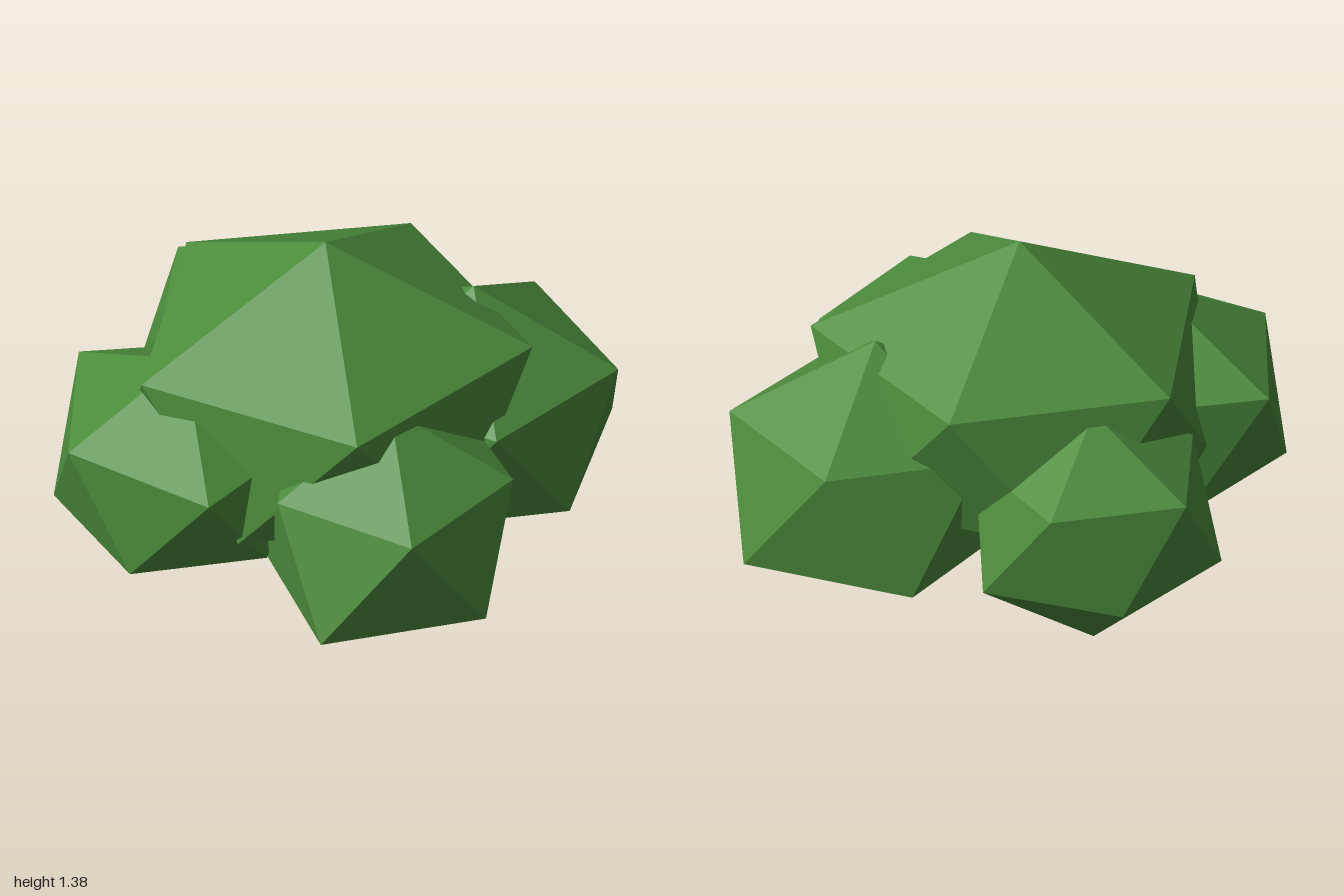
import * as THREE from 'three';

// Each clump is an uneven 12-point ball: top point, two rings of five, bottom point.
// up / low hold the ring radii, 72 degrees apart, starting at +x and turning towards +z.
const CLUMPS = [
  { name: 'crownClump', x: -0.05, z: -0.06, top: 1.38, upY: 0.99, lowY: 0.48, bottom: 0.15,
    up: [0.76, 0.72, 0.75, 0.71, 0.686], low: [0.7, 0.7, 0.72, 0.7, 0.7] },
  { name: 'frontRightClump', x: -0.52, z: 0.24, top: 1.02, upY: 0.755, lowY: 0.335, bottom: 0.06,
    up: [0.5, 0.547, 0.474, 0.54, 0.5], low: [0.42, 0.44, 0.48, 0.47, 0.48] },
  { name: 'frontLeftClump', x: 0.26, z: 0.4, top: 1.0, upY: 0.735, lowY: 0.31, bottom: 0.03,
    up: [0.45, 0.484, 0.46, 0.48, 0.48], low: [0.488, 0.56, 0.47, 0.48, 0.46] },
  { name: 'backLeftClump', x: 0.46, z: -0.28, top: 1.07, upY: 0.75, lowY: 0.305, bottom: 0.07,
    up: [0.53, 0.515, 0.5, 0.5, 0.49], low: [0.49, 0.5, 0.5, 0.55, 0.564] },
  { name: 'backRightClump', x: -0.35, z: -0.53, top: 0.95, upY: 0.72, lowY: 0.34, bottom: 0.0,
    up: [0.43, 0.43, 0.425, 0.436, 0.42], low: [0.45, 0.45, 0.465, 0.435, 0.474] },
];

function clumpGeometry(c) {
  const ring = (radii, y, startDeg) => radii.map((r, k) => {
    const a = THREE.MathUtils.degToRad(startDeg + k * 72);
    return [c.x + r * Math.cos(a), y, c.z + r * Math.sin(a)];
  });
  const up = ring(c.up, c.upY, 0);
  const low = ring(c.low, c.lowY, 36);
  const top = [c.x, c.top, c.z];
  const bottom = [c.x, c.bottom, c.z];

  const points = [];
  const face = (...corners) => corners.forEach((p) => points.push(...p));
  for (let k = 0; k < 5; k++) {
    const n = (k + 1) % 5;
    face(top, up[n], up[k]);
    face(up[k], up[n], low[k]);
    face(up[n], low[n], low[k]);
    face(low[k], low[n], bottom);
  }
  const geometry = new THREE.BufferGeometry();
  geometry.setAttribute('position', new THREE.Float32BufferAttribute(points, 3));
  geometry.computeVertexNormals();
  return geometry;
}

export function createModel() {
  const bush = new THREE.Group();
  bush.name = 'bush';
  const leafGreen = new THREE.MeshStandardMaterial({ color: 0x4c8c3c, flatShading: true });
  leafGreen.name = 'leafGreen';

  for (const clump of CLUMPS) {
    const mesh = new THREE.Mesh(clumpGeometry(clump), leafGreen);
    mesh.name = clump.name;
    bush.add(mesh);
  }
  return bush;
}
